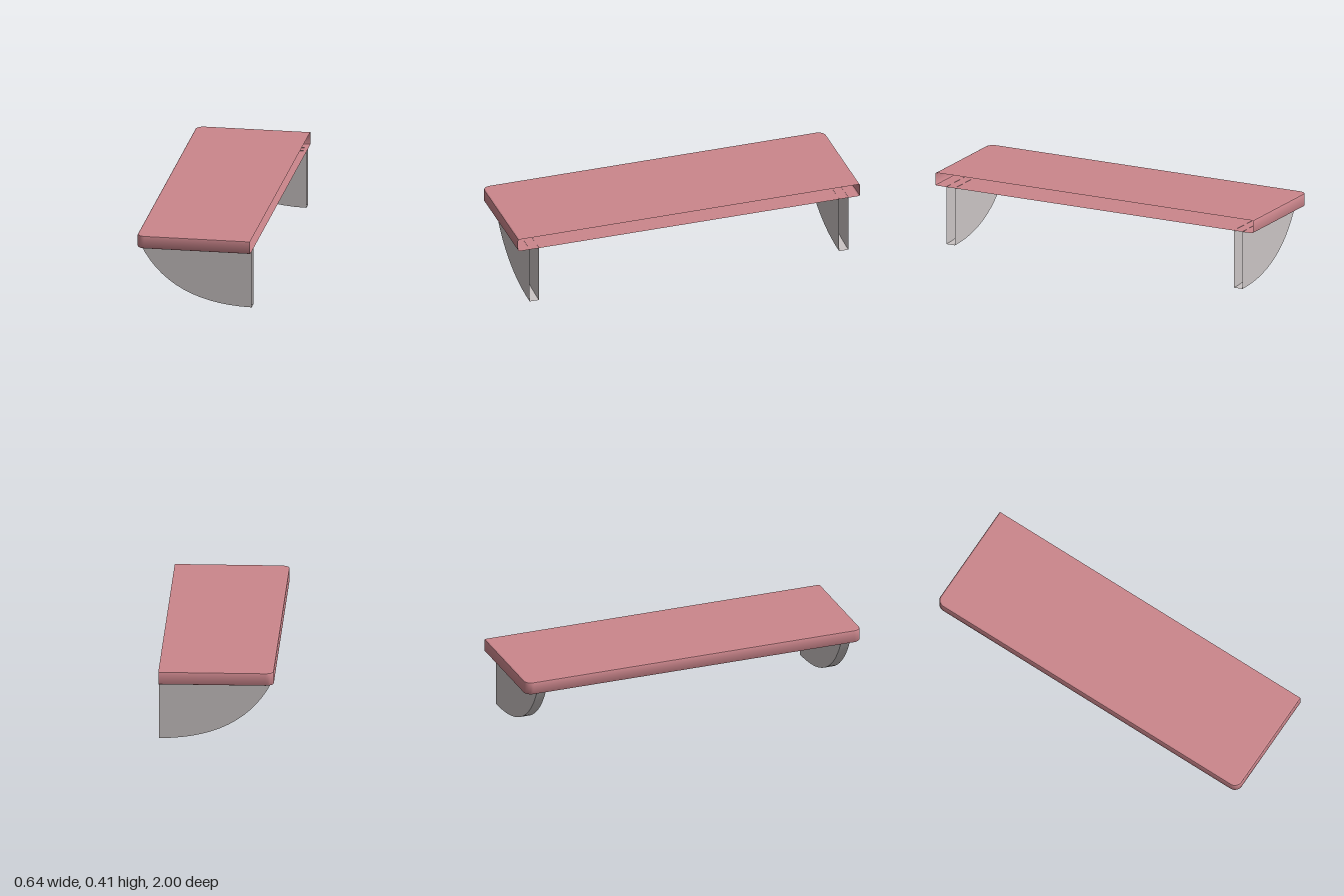
import * as THREE from 'three';
import { toCreasedNormals } from 'three/addons/utils/BufferGeometryUtils.js';

// Plan outline of the board (x, z), open along the wall side at +x
function boardOutline(inset) {
  const wallX = 0.32, frontX = -0.32 + inset, z = 1 - inset, r = 0.045 - inset;
  const pts = [new THREE.Vector2(wallX, z)];
  for (const [cz, start] of [[z - r, Math.PI / 2], [-z + r, Math.PI]]) {
    for (let i = 0; i <= 8; i++) {
      const a = start + (i / 8) * Math.PI / 2;
      pts.push(new THREE.Vector2(frontX + r + r * Math.cos(a), cz + r * Math.sin(a)));
    }
  }
  pts.push(new THREE.Vector2(wallX, -z));
  return pts;
}

// Open strip joining a list of cross-section rows
function loft(rows) {
  const n = rows[0].length, index = [];
  for (let j = 0; j < rows.length - 1; j++) {
    for (let i = 0; i < n - 1; i++) {
      const a = j * n + i, b = a + 1, c = a + n, d = b + n;
      index.push(b, a, c, b, c, d);
    }
  }
  const g = new THREE.BufferGeometry().setFromPoints(rows.flat());
  g.setIndex(index);
  return toCreasedNormals(g, 0.6);
}

export function createModel() {
  const model = new THREE.Group();
  const pink = new THREE.MeshStandardMaterial({ color: 0xcb868c, side: THREE.DoubleSide });
  pink.name = 'dusty pink';
  const grey = new THREE.MeshStandardMaterial({ color: 0xc9c3c3, side: THREE.DoubleSide });
  grey.name = 'warm grey';

  function add(parent, name, geometry, material) {
    const mesh = new THREE.Mesh(geometry, material);
    mesh.name = name;
    parent.add(mesh);
    return mesh;
  }

  // Hollow board: softened rim plus top and bottom faces, open at the wall
  const board = new THREE.Group();
  board.name = 'board';
  model.add(board);
  const profile = [[0.331, 0.009], [0.3335, 0.0025], [0.338, 0], [0.398, 0], [0.4025, 0.0025], [0.405, 0.009]];
  add(board, 'boardRim', loft(profile.map(([y, inset]) =>
    boardOutline(inset).map(p => new THREE.Vector3(p.x, y, p.y)))), pink);
  const face = new THREE.Shape(boardOutline(0.009));
  add(board, 'boardTop', new THREE.ShapeGeometry(face).rotateX(-Math.PI / 2), pink).position.y = 0.405;
  add(board, 'boardBottom', new THREE.ShapeGeometry(face).rotateX(Math.PI / 2), pink).position.y = 0.331;

  // Curved brackets: two flat cheeks and a bowed edge, open at the wall
  const curve = new THREE.QuadraticBezierCurve(
    new THREE.Vector2(0.318, 0), new THREE.Vector2(-0.14, 0.003), new THREE.Vector2(-0.307, 0.332));
  const edge = curve.getPoints(14);
  const cheek = new THREE.Shape([...edge, new THREE.Vector2(0.318, 0.332)]);
  const half = 0.027;
  for (const side of [1, -1]) {
    const bracket = new THREE.Group();
    bracket.name = side > 0 ? 'frontBracket' : 'backBracket';
    bracket.position.z = side * 0.905;
    model.add(bracket);
    add(bracket, 'frontCheek', new THREE.ShapeGeometry(cheek), grey).position.z = half;
    add(bracket, 'backCheek', new THREE.ShapeGeometry(cheek).rotateY(Math.PI).scale(1, 1, 1), grey);
    const back = bracket.children[1];
    back.geometry = new THREE.ShapeGeometry(cheek);
    // Mirror the cheek so that its face points backwards
    back.geometry.scale(1, 1, -1);
    const idx = back.geometry.index;
    for (let i = 0; i < idx.count; i += 3) {
      const t = idx.getX(i);
      idx.setX(i, idx.getX(i + 1));
      idx.setX(i + 1, t);
    }
    back.geometry.computeVertexNormals();
    back.position.z = -half;
    add(bracket, 'bowedEdge', loft([half, -half].map(z =>
      edge.map(p => new THREE.Vector3(p.x, p.y, z)))), grey);
  }
  return model;
}
